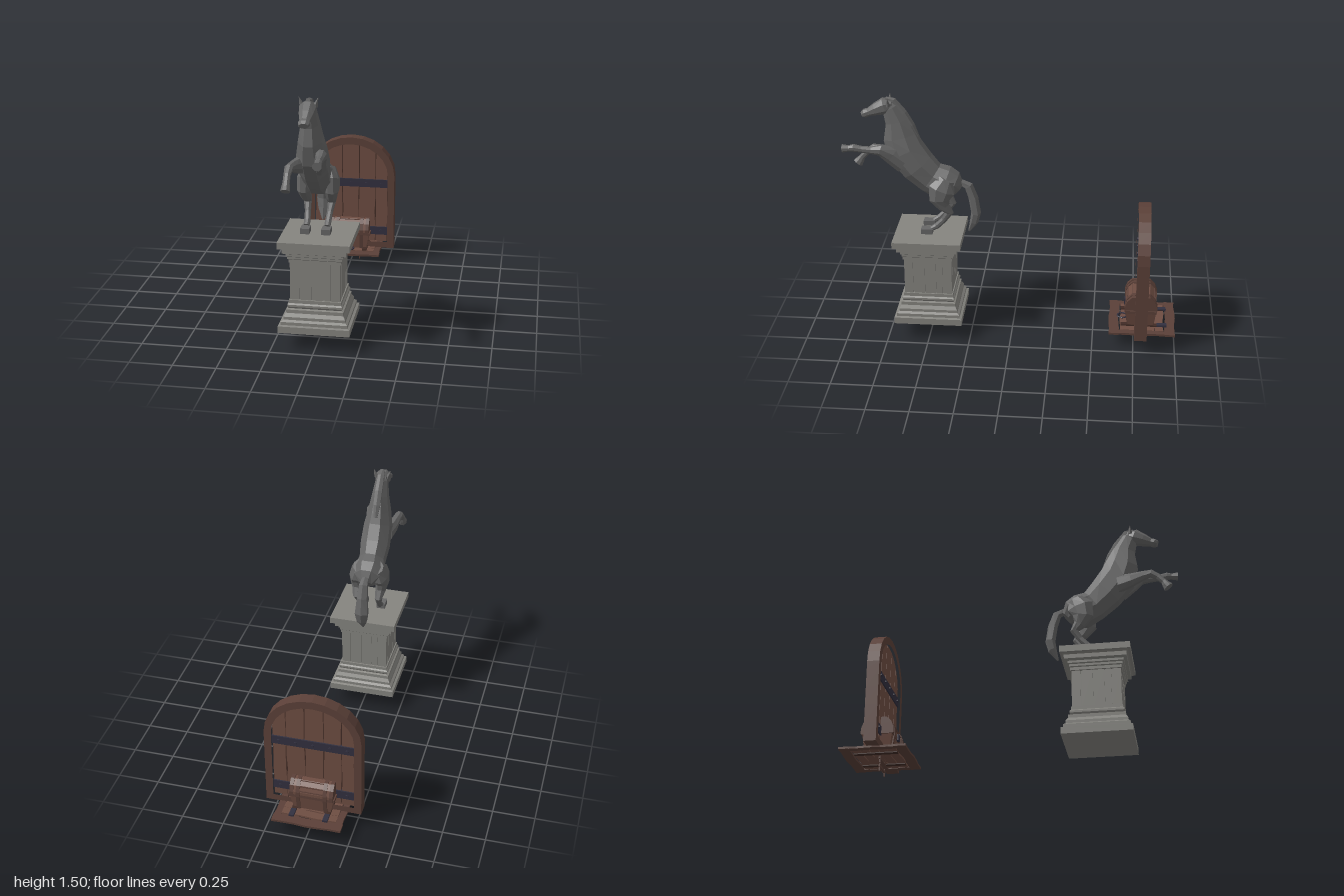
import * as THREE from 'three';

const mat = (color, side = THREE.FrontSide) => new THREE.MeshStandardMaterial({ color, flatShading: true, side });
const stone = mat(0x85847f), statue = mat(0x666666), frameWood = mat(0x5b4038);
const wood = mat(0x6e4d42), darkWood = mat(0x402b25), iron = mat(0x32303f);

function add(parent, name, geo, material, x = 0, y = 0, z = 0) {
  const m = new THREE.Mesh(geo, material);
  m.name = name;
  m.position.set(x, y, z);
  parent.add(m);
  return m;
}
const box = (parent, name, material, w, h, d, x, y, z) =>
  add(parent, name, new THREE.BoxGeometry(w, h, d), material, x, y, z);

function group(parent, name, x = 0, y = 0, z = 0) {
  const g = new THREE.Group();
  g.name = name;
  g.position.set(x, y, z);
  parent.add(g);
  return g;
}

// Skin over oval rings; each ring is [x, y, z, half width, half height]
function loft(rings, sides = 8) {
  const pts = rings.map(r => new THREE.Vector3(r[0], r[1], r[2]));
  const X = new THREE.Vector3(1, 0, 0), pos = [], idx = [];
  rings.forEach((r, i) => {
    const t = pts[Math.min(i + 1, pts.length - 1)].clone().sub(pts[Math.max(i - 1, 0)]);
    t.x = 0;
    const up = t.normalize().clone().cross(X);
    for (let k = 0; k < sides; k++) {
      const a = (k + 0.5) / sides * Math.PI * 2;
      const p = pts[i].clone().addScaledVector(X, Math.cos(a) * r[3]).addScaledVector(up, Math.sin(a) * r[4]);
      pos.push(p.x, p.y, p.z);
      if (i < rings.length - 1) {
        const a0 = i * sides + k, b0 = i * sides + (k + 1) % sides;
        idx.push(a0, b0, a0 + sides, b0, b0 + sides, a0 + sides);
      }
    }
  });
  const last = (rings.length - 1) * sides;
  for (let k = 1; k < sides - 1; k++) idx.push(0, k + 1, k, last, last + k, last + k + 1);
  const g = new THREE.BufferGeometry();
  g.setAttribute('position', new THREE.Float32BufferAttribute(pos, 3));
  g.setIndex(idx);
  g.computeVertexNormals();
  return g;
}

function buildPedestal(root) {
  const g = group(root, 'pedestal', -0.002, 0, 0.502);
  // Square moulding profile: half width, height
  const profile = [[0, .105], [.206, .105], [.206, .145], [.192, .15], [.192, .168], [.178, .178], [.178, .195],
    [.165, .215], [.165, .235], [.152, .24], [.158, .25], [.158, .262], [.15, .27], [.15, .29], [.136, .292],
    [.136, .515], [.15, .517], [.15, .535], [.156, .54], [.156, .553], [.164, .558], [.164, .572], [.182, .58],
    [.182, .605], [.192, .612], [.206, .614], [.206, .653], [0, .653]];
  add(g, 'mouldings', new THREE.LatheGeometry(profile.map(([r, y]) => new THREE.Vector2(r * Math.SQRT2, y)),
    4, Math.PI / 4), stone);
  // Raised vertical panels on each face
  for (let f = 0; f < 4; f++) {
    const face = group(g, 'panelFace');
    face.rotation.y = f * Math.PI / 2;
    for (const [x, w] of [[-.118, .052], [-.052, .064], [.016, .064], [.07, .034], [.118, .052]])
      box(face, 'panel', stone, w, .224, .014, x, .403, .137);
  }
}

function buildHorse(root) {
  const g = group(root, 'horse', -0.018, 0, 0);
  add(g, 'body', loft([[0, .92, .325, .04, .045], [0, .945, .355, .085, .085], [0, .958, .41, .1, .11],
    [0, .995, .49, .082, .1], [0, 1.067, .564, .092, .11], [0, 1.166, .64, .088, .117], [0, 1.254, .668, .07, .105],
    [0, 1.348, .685, .053, .07], [0, 1.43, .72, .04, .052], [0, 1.46, .745, .03, .03]]), statue);
  add(g, 'head', loft([[0, 1.455, .705, .03, .025], [0, 1.44, .75, .05, .052], [0, 1.418, .805, .042, .038],
    [0, 1.398, .85, .03, .024], [0, 1.39, .872, .034, .026], [0, 1.383, .888, .026, .018]]), statue);
  add(g, 'mane', loft([[0, 1.485, .745, .014, .012], [0, 1.475, .7, .022, .018], [0, 1.4, .64, .025, .02],
    [0, 1.325, .595, .024, .018], [0, 1.255, .562, .012, .01]], 6), statue);
  add(g, 'tail', loft([[0, .965, .31, .022, .022], [0, .945, .265, .03, .028], [0, .87, .238, .036, .03],
    [0, .77, .222, .046, .03], [0, .71, .235, .036, .026], [0, .645, .266, .006, .006]], 6), statue);
  for (const s of [-1, 1]) {
    const ear = add(g, 'ear', new THREE.ConeGeometry(.016, .055, 4), statue, s * .044, 1.476, .727);
    ear.rotation.z = -s * .35;
    add(g, 'hindLeg', loft([[s * .055, 1.01, .385, .04, .05], [s * .075, .95, .415, .048, .085],
      [s * .08, .885, .43, .042, .066], [s * .074, .835, .405, .032, .036], [s * .07, .797, .375, .024, .026],
      [s * .064, .745, .41, .018, .018], [s * .06, .7, .455, .019, .019], [s * .06, .683, .485, .018, .015]]), statue);
    box(g, 'hindHoof', statue, .052, .032, .07, s * .06, .669, .514);
  }
  // Left foreleg raised high, right foreleg folded lower
  add(g, 'leftForeleg', loft([[.045, 1.09, .64, .04, .06], [.06, 1.15, .71, .036, .055], [.075, 1.19, .775, .032, .036],
    [.08, 1.188, .83, .022, .022], [.085, 1.195, .89, .02, .02], [.088, 1.203, .935, .022, .023],
    [.09, 1.2, .96, .02, .018], [.09, 1.198, 1, .027, .025]]), statue);
  add(g, 'rightForeleg', loft([[-.05, 1.1, .64, .04, .06], [-.068, 1.11, .72, .036, .044],
    [-.08, 1.128, .79, .028, .03], [-.088, 1.136, .845, .025, .024], [-.09, 1.11, .885, .02, .02],
    [-.09, 1.075, .918, .02, .018], [-.09, 1.055, .93, .024, .025], [-.09, 1.035, .945, .027, .032]]), statue);
}

// Height of an elliptical arch with half width a and rise h
const archY = (x, a, h) => .6 + h * Math.sqrt(Math.max(0, 1 - (x / a) ** 2));

function archShape(a, h, bottom, x0 = -a, x1 = a, wave = 0) {
  const pts = [];
  for (let i = 0; i <= 12; i++) {
    // Even angles keep the steep ends of the arch smooth
    const x = x0 + (x1 - x0) * (1 - Math.cos(i / 12 * Math.PI)) / 2;
    pts.push(new THREE.Vector2(x, archY(x, a, h)));
  }
  for (let j = 0; j < 5; j++) pts.push(new THREE.Vector2(x1 + wave * Math.sin(j * 2.3 + x1 * 40), .55 + (bottom - .55) * j / 4));
  for (let j = 4; j >= 0; j--) pts.push(new THREE.Vector2(x0 + wave * Math.sin(j * 1.9 + x0 * 30), .55 + (bottom - .55) * j / 4));
  return new THREE.Shape(pts);
}

const extrude = (shape, depth) =>
  new THREE.ExtrudeGeometry(shape, { depth, bevelEnabled: false }).translate(0, 0, -depth / 2);

function buildDoor(root) {
  const g = group(root, 'door', 0, 0, -.792);
  const outer = archShape(.285, .255, .1);
  outer.holes.push(archShape(.242, .208, .14));
  add(g, 'doorFrame', extrude(outer, .074), frameWood);
  add(g, 'doorBacking', extrude(archShape(.242, .208, .14), .02), darkWood);
  const edges = [-.241, -.165, -.06, .05, .16, .241];
  for (let i = 0; i < 5; i++)
    add(g, 'doorPlank', extrude(archShape(.242, .208, .14, edges[i] + .003, edges[i + 1] - .003, .003), .04), wood);
  // Iron straps with bolts on both faces
  for (const y of [.543, .215]) {
    box(g, 'strap', iron, .484, .054, .056, 0, y, 0);
    for (const x of [-.2, -.1, 0, .1, .2]) {
      const bolt = add(g, 'bolt', new THREE.CylinderGeometry(.009, .009, .074, 6), iron, x, y, 0);
      bolt.rotation.x = Math.PI / 2;
    }
  }
}

// Faceted lid or strap, extruded along x
function lidGeometry(width, grow) {
  const outline = [[-.093, .205], [.093, .205], [.093, .235], [.08, .272], [.052, .3], [-.052, .3], [-.08, .272], [-.093, .235]];
  const shape = new THREE.Shape(outline.map(([z, y]) => new THREE.Vector2(z * (1 + grow), .205 + (y - .205) * (1 + grow))));
  return extrude(shape, width).rotateY(Math.PI / 2);
}

function buildChest(root) {
  const g = group(root, 'chest', -.003, 0, -.791);
  // Box widened toward its rim
  const body = new THREE.BoxGeometry(.25, .105, .17);
  const p = body.attributes.position;
  for (let i = 0; i < p.count; i++) {
    const k = p.getY(i) > 0 ? 1.05 : .87;
    p.setX(i, p.getX(i) * k);
    p.setZ(i, p.getZ(i) * k);
  }
  add(g, 'chestBody', body, wood, 0, .153, 0);
  box(g, 'chestRim', frameWood, .274, .018, .188, 0, .208, 0);
  add(g, 'lid', lidGeometry(.25, 0), wood);
  for (const x of [-.118, -.08, .08, .118]) add(g, 'lidBand', lidGeometry(.022, .06), frameWood, x);
  for (const x of [-.08, .08]) for (const s of [-1, 1]) {
    const band = box(g, 'bodyBand', frameWood, .022, .108, .012, x, .153, s * .083);
    band.rotation.x = s * .145;
  }
  for (const y of [.245, .272, .296]) for (const s of [-1, 1])
    box(g, 'lidSlat', frameWood, .14, .004, .012, 0, y, s * (y > .29 ? .052 : y > .26 ? .079 : .089));
  box(g, 'latch', iron, .034, .04, .014, 0, .217, .095);
}

// Board whose long edges waver slightly
function board(parent, name, material, w, h, d, x, y, z, seed) {
  const geo = new THREE.BoxGeometry(w, h, d, 6, 1, 1), p = geo.attributes.position;
  for (let i = 0; i < p.count; i++)
    p.setZ(i, p.getZ(i) + .005 * Math.sin(p.getX(i) / w * 9 + seed) * Math.cos(p.getX(i) / w * Math.PI));
  return add(parent, name, geo, material, x, y, z);
}

function buildHatch(root) {
  const g = group(root, 'hatch', 0, 0, -.8);
  for (const s of [-1, 1]) {
    board(g, 'hatchEndBoard', frameWood, .41, .013, .06, 0, .096, s * .17, s);
    const side = board(g, 'hatchSideBoard', frameWood, .29, .013, .038, s * .183, .096, 0, s * 2);
    side.rotation.y = Math.PI / 2;
  }
  for (let i = 0; i < 5; i++) board(g, 'hatchPlank', wood, .325, .012, .05, 0, .098, (i - 2) * .053, i * 1.7);
  for (const x of [-.1, .1]) {
    box(g, 'crossBar', darkWood, .03, .012, .26, x, .106, 0);
    box(g, 'lowerBar', darkWood, .03, .008, .26, x, .09, 0);
    box(g, 'hinge', iron, .03, .012, .06, x, .11, -.12);
  }
  const ring = add(g, 'pullRing', new THREE.TorusGeometry(.03, .005, 5, 12), iron, 0, .112, .12);
  ring.rotation.x = Math.PI / 2;
  // Hanging ladder with curved rungs
  for (const s of [-1, 1]) box(g, 'ladderRail', frameWood, .006, .096, .008, s * .055, .048, .013);
  const rungMat = mat(0x5b4038, THREE.DoubleSide);
  for (const y of [.078, .03]) {
    const rung = add(g, 'rung', new THREE.CylinderGeometry(.02, .02, .134, 8, 1, true, 0, Math.PI), rungMat, 0, y, .025);
    rung.rotation.z = Math.PI / 2;
    rung.rotation.x = -.7;
    box(g, 'rungTread', frameWood, .134, .012, .01, 0, y, .013);
  }
}

export function createModel() {
  const root = new THREE.Group();
  root.name = 'statueDoorAndChest';
  buildPedestal(root);
  buildHorse(root);
  buildDoor(root);
  buildChest(root);
  buildHatch(root);
  return root;
}
